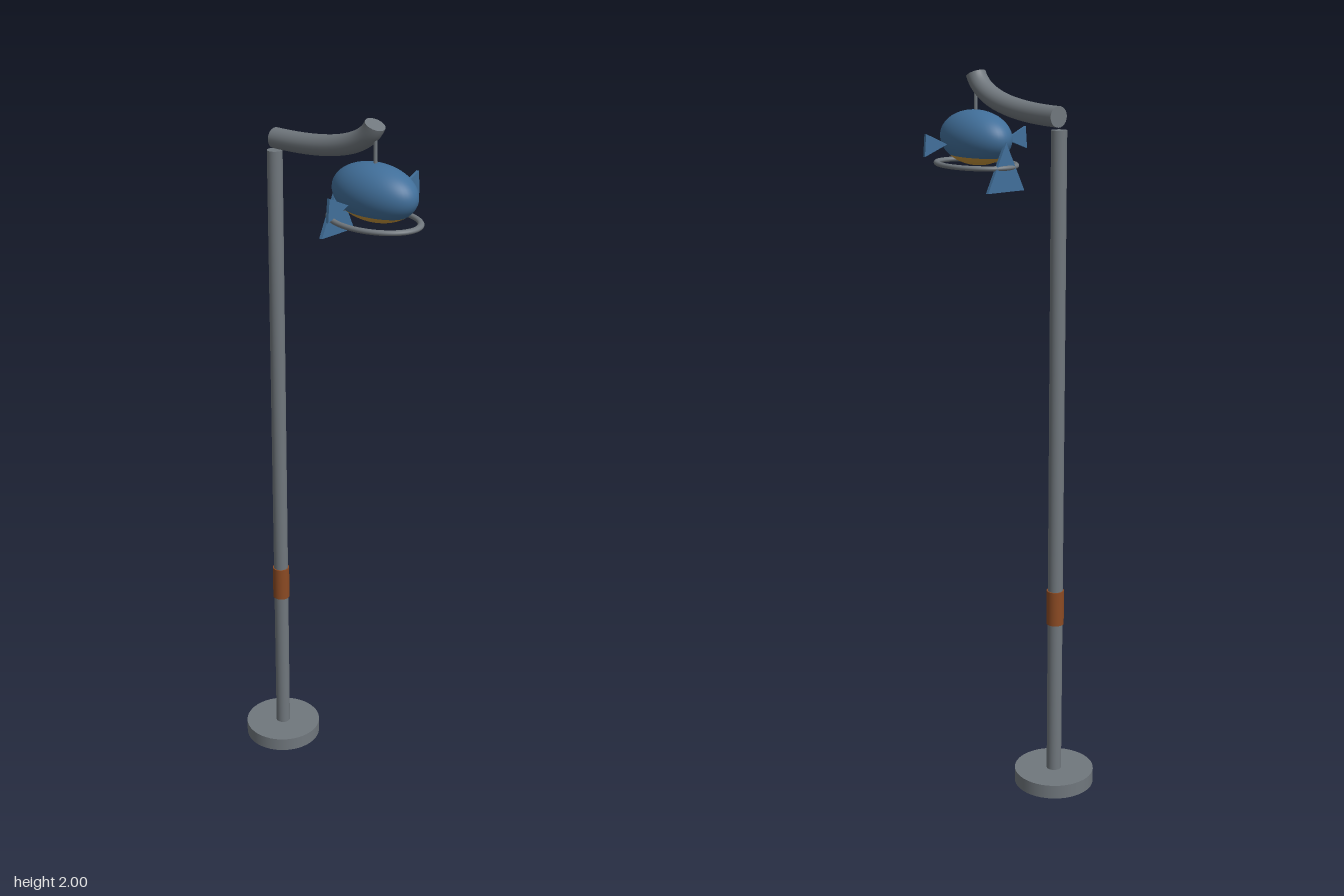
import * as THREE from 'three';

export function createModel() {
  const model = new THREE.Group();
  model.name = 'fishStreetLamp';

  const paint = (name, color) => {
    const m = new THREE.MeshStandardMaterial({ color });
    m.name = name;
    return m;
  };
  const grey = paint('greyMetal', 0x70777d);
  const blue = paint('blueEnamel', 0x416f9a);
  const rust = paint('rustBrown', 0x8b4a23);
  const gold = paint('goldLamp', 0xc8963c);

  const add = (name, geometry, material, x = 0, y = 0, z = 0) => {
    const mesh = new THREE.Mesh(geometry, material);
    mesh.name = name;
    mesh.position.set(x, y, z);
    model.add(mesh);
    return mesh;
  };

  const poleZ = -0.191;
  const fishZ = 0.16;
  const fishY = 1.814;

  // Base, pole and rusty band
  add('base', new THREE.CylinderGeometry(0.113, 0.113, 0.04, 48), grey, 0, 0.02, poleZ);
  add('pole', new THREE.CylinderGeometry(0.021, 0.021, 1.84, 32), grey, 0, 0.94, poleZ);
  add('band', new THREE.CylinderGeometry(0.0245, 0.0245, 0.1, 32), rust, 0, 0.54, poleZ);

  // Curved arm, closed with a disc at each end
  const armRadius = 0.0275;
  const armCurve = new THREE.QuadraticBezierCurve3(
    new THREE.Vector3(0, 1.893, -0.189),
    new THREE.Vector3(0, 1.893, 0.115),
    new THREE.Vector3(0, 1.985, 0.158)
  );
  add('arm', new THREE.TubeGeometry(armCurve, 32, armRadius, 24), grey);
  for (const t of [0, 1]) {
    const p = armCurve.getPoint(t);
    const outward = armCurve.getTangent(t).multiplyScalar(t ? 1 : -1);
    const cap = add('armCap', new THREE.CircleGeometry(armRadius, 24), grey, p.x, p.y, p.z);
    cap.quaternion.setFromUnitVectors(new THREE.Vector3(0, 0, 1), outward);
  }

  // Hanging rod
  add('hangingRod', new THREE.CylinderGeometry(0.005, 0.005, 0.12, 12), grey, 0, 1.92, fishZ);

  // Fish body: blue shell above, gold lamp below
  const split = Math.acos(-0.66);
  const bodyPart = (name, start, length, material) => {
    const g = new THREE.SphereGeometry(1, 48, 24, 0, Math.PI * 2, start, length);
    g.scale(0.075, 0.075, 0.131);
    add(name, g, material, 0, fishY, fishZ);
  };
  bodyPart('bodyShell', 0, split, blue);
  bodyPart('lamp', split, Math.PI - split, gold);

  // Oval ring around the lamp
  const ring = new THREE.TorusGeometry(0.095, 0.007, 16, 64);
  ring.rotateX(Math.PI / 2);
  ring.scale(1, 1, 1.385);
  add('ring', ring, grey, 0, 1.742, fishZ);

  // Triangular fins, flat plates facing the front
  const fin = (name, points, thickness, z) => {
    const shape = new THREE.Shape(points.map(([x, y]) => new THREE.Vector2(x, y)));
    const g = new THREE.ExtrudeGeometry(shape, { depth: thickness, bevelEnabled: false });
    g.translate(0, 0, -thickness / 2);
    add(name, g, blue, 0, 0, z);
  };
  for (const [name, s] of [['leftFin', 1], ['rightFin', -1]]) {
    fin(name, [[s * 0.102, 1.802], [s * 0.177, 1.773], [s * 0.172, 1.834]], 0.008, 0.158);
  }
  fin('tail', [[-0.0625, 1.678], [0.0625, 1.678], [0, 1.81]], 0.01, 0.031);

  return model;
}
